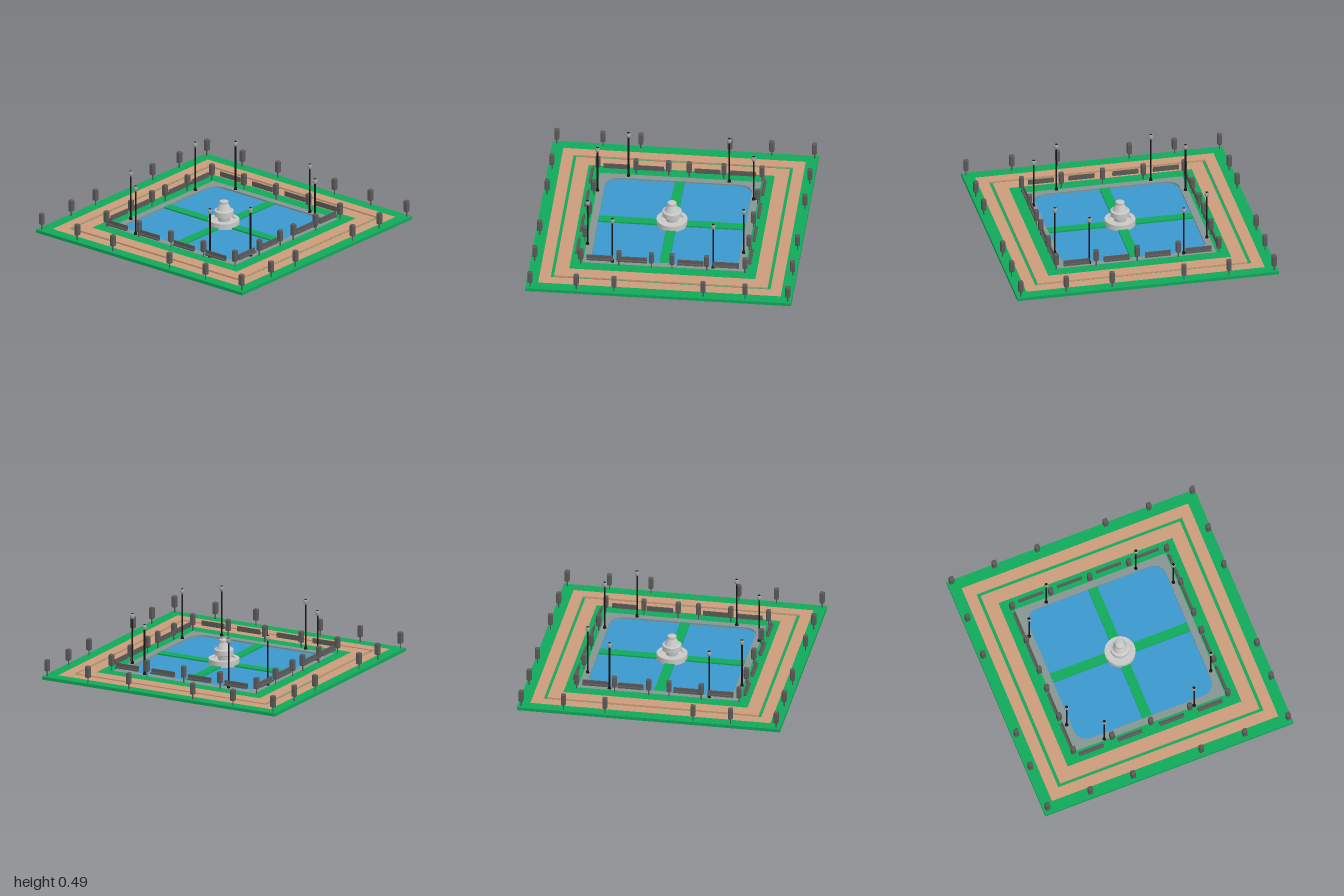
import * as THREE from 'three';
import { RoundedBoxGeometry } from 'three/addons/geometries/RoundedBoxGeometry.js';

const mat = (name, color, side = THREE.FrontSide) => {
  const m = new THREE.MeshStandardMaterial({ color, side });
  m.name = name;
  return m;
};

export function createModel() {
  const grass = mat('grass green', 0x10a85a);
  const paving = mat('tan paving', 0xcc9b7c);
  const water = mat('water blue', 0x3a98cc);
  const stone = mat('grey stone', 0x859492);
  const fountainStone = mat('pale stone', 0xc8c8c6, THREE.DoubleSide);
  const iron = mat('dark grey', 0x5c5a59);
  const black = mat('black metal', 0x161616);
  const glass = mat('lamp grey', 0xa0a3a4);

  const model = new THREE.Group();
  model.name = 'fountainPlaza';
  const TOP = 0.091, BASE = 0.067;

  const add = (parent, name, geo, material, x = 0, y = 0, z = 0) => {
    const mesh = new THREE.Mesh(geo, material);
    mesh.name = name;
    mesh.position.set(x, y, z);
    parent.add(mesh);
    return mesh;
  };

  // Rectangle outline with optional rounded corners
  const outline = (target, h, r = 0) => {
    if (!r) return target.setFromPoints([[-h, -h], [h, -h], [h, h], [-h, h]].map(p => new THREE.Vector2(...p)));
    const c = h - r;
    target.absarc(c, c, r, 0, Math.PI / 2);
    target.absarc(-c, c, r, Math.PI / 2, Math.PI);
    target.absarc(-c, -c, r, Math.PI, Math.PI * 1.5);
    target.absarc(c, -c, r, Math.PI * 1.5, Math.PI * 2);
    target.closePath();
    return target;
  };

  // Flat square frame between two half widths
  const frame = (name, outer, inner, y0, y1, material, innerRadius = 0) => {
    const shape = outline(new THREE.Shape(), outer);
    shape.holes.push(outline(new THREE.Path(), inner, innerRadius));
    const geo = new THREE.ExtrudeGeometry(shape, { depth: y1 - y0, bevelEnabled: false, curveSegments: 10 });
    geo.rotateX(-Math.PI / 2);
    add(model, name, geo, material, 0, y0, 0);
  };

  // Ground, from the outer lawn to the pool edge
  frame('outerLawn', 1, 0.912, BASE, TOP, grass);
  frame('outerPath', 0.912, 0.827, BASE, TOP, paving);
  frame('grassGroove', 0.827, 0.803, 0.076, 0.079, grass);
  frame('innerPath', 0.803, 0.7, BASE, TOP, paving);
  frame('innerLawn', 0.7, 0.607, BASE, TOP, grass);
  frame('poolSurround', 0.607, 0.553, BASE, TOP, stone, 0.1);

  // Water sheet
  const poolGeo = new THREE.ExtrudeGeometry(outline(new THREE.Shape(), 0.553, 0.1),
    { depth: 0.004, bevelEnabled: false, curveSegments: 10 });
  poolGeo.rotateX(-Math.PI / 2);
  add(model, 'water', poolGeo, water, 0, 0.075, 0);

  // Crossing walkways, hollow underneath
  for (let i = 0; i < 4; i++) {
    const arm = new THREE.Group();
    arm.name = 'walkway';
    arm.rotation.y = i * Math.PI / 2;
    add(arm, 'walkwayDeck', new THREE.BoxGeometry(0.515, 0.008, 0.074), grass, 0.295, 0.086, 0);
    for (const s of [-1, 1])
      add(arm, 'walkwayWall', new THREE.BoxGeometry(0.515, 0.08, 0.006), grass, 0.295, 0.047, s * 0.034);
    model.add(arm);
  }

  // Fountain: open drum, bowl, tapered neck and cap
  const fountain = new THREE.Group();
  fountain.name = 'fountain';
  const turned = (name, pts) => {
    const geo = new THREE.CylinderGeometry(1, 1, 1, 32, 1, true);
    geo.dispose();
    // Each straight run is its own lathe so that rims stay sharp
    pts.slice(1).forEach((p, i) => add(fountain, name,
      new THREE.LatheGeometry([new THREE.Vector2(...pts[i]), new THREE.Vector2(...p)], 32), fountainStone));
  };
  turned('fountainDrum', [[0.116, 0], [0.116, 0.125], [0.085, 0.125], [0.085, 0.115], [0.045, 0.115]]);
  turned('fountainBowl', [[0.045, 0.115], [0.05, 0.145], [0.072, 0.155], [0.072, 0.195], [0.055, 0.2]]);
  turned('fountainNeck', [[0.055, 0.2], [0.032, 0.25], [0.033, 0.255], [0.033, 0.268], [0, 0.272]]);
  model.add(fountain);

  // Clipped posts around the outer edge and the inner lawn
  const headGeo = new RoundedBoxGeometry(0.037, 0.09, 0.037, 2, 0.009);
  const stemGeo = new THREE.CylinderGeometry(0.005, 0.005, 0.055, 8);
  const post = (x, z) => {
    const g = new THREE.Group();
    g.name = 'post';
    g.position.set(x, 0, z);
    add(g, 'postStem', stemGeo, iron, 0, 0.112, 0);
    add(g, 'postHead', headGeo, iron, 0, 0.176, 0);
    model.add(g);
  };
  for (const z of [-0.972, 0.967])
    for (const x of [-0.97, -0.625, -0.28, 0.27, 0.62, 0.97]) post(x, z);
  for (const x of [-0.97, 0.97])
    for (const z of [-0.65, -0.335, 0.335, 0.62]) post(x, z);
  for (const z of [-0.613, 0.622])
    for (const x of [-0.625, -0.313, 0, 0.315, 0.62]) post(x, z);
  for (const x of [-0.625, 0.62])
    for (const z of [-0.325, -0.065, 0.09, 0.335]) post(x, z);

  // Benches: narrow seat with a back on the pool side
  const bench = (x, z, turn) => {
    const g = new THREE.Group();
    g.name = 'bench';
    g.position.set(x, 0, z);
    g.rotation.y = turn;
    add(g, 'benchSeat', new THREE.BoxGeometry(0.196, 0.012, 0.022), iron, 0, 0.136, 0);
    add(g, 'benchBack', new THREE.BoxGeometry(0.196, 0.028, 0.008), iron, 0, 0.154, -0.007);
    model.add(g);
  };
  for (const x of [-0.463, -0.152, 0.163, 0.47]) bench(x, -0.643, Math.PI);
  for (const x of [-0.493, -0.182, 0.155, 0.463]) bench(x, 0.66, 0);
  for (const z of [-0.47, -0.202, 0.222, 0.48]) {
    bench(-0.627, z, -Math.PI / 2);
    bench(0.622, z, Math.PI / 2);
  }

  // Lamps at the pool surround
  const lamp = (x, z) => {
    const g = new THREE.Group();
    g.name = 'lamp';
    g.position.set(x, 0, z);
    add(g, 'lampBase', new THREE.CylinderGeometry(0.009, 0.014, 0.02, 8), black, 0, 0.101, 0);
    add(g, 'lampPole', new THREE.CylinderGeometry(0.006, 0.006, 0.345, 8), black, 0, 0.27, 0);
    add(g, 'lampGlobe', new THREE.SphereGeometry(0.017, 14, 10), glass, 0, 0.46, 0).scale.y = 1.35;
    add(g, 'lampCap', new THREE.ConeGeometry(0.011, 0.006, 10), black, 0, 0.482, 0);
    model.add(g);
  };
  for (const x of [-0.364, 0.358]) for (const z of [-0.576, 0.598]) lamp(x, z);
  for (const x of [-0.585, 0.578]) for (const z of [-0.37, 0.388]) lamp(x, z);

  return model;
}
